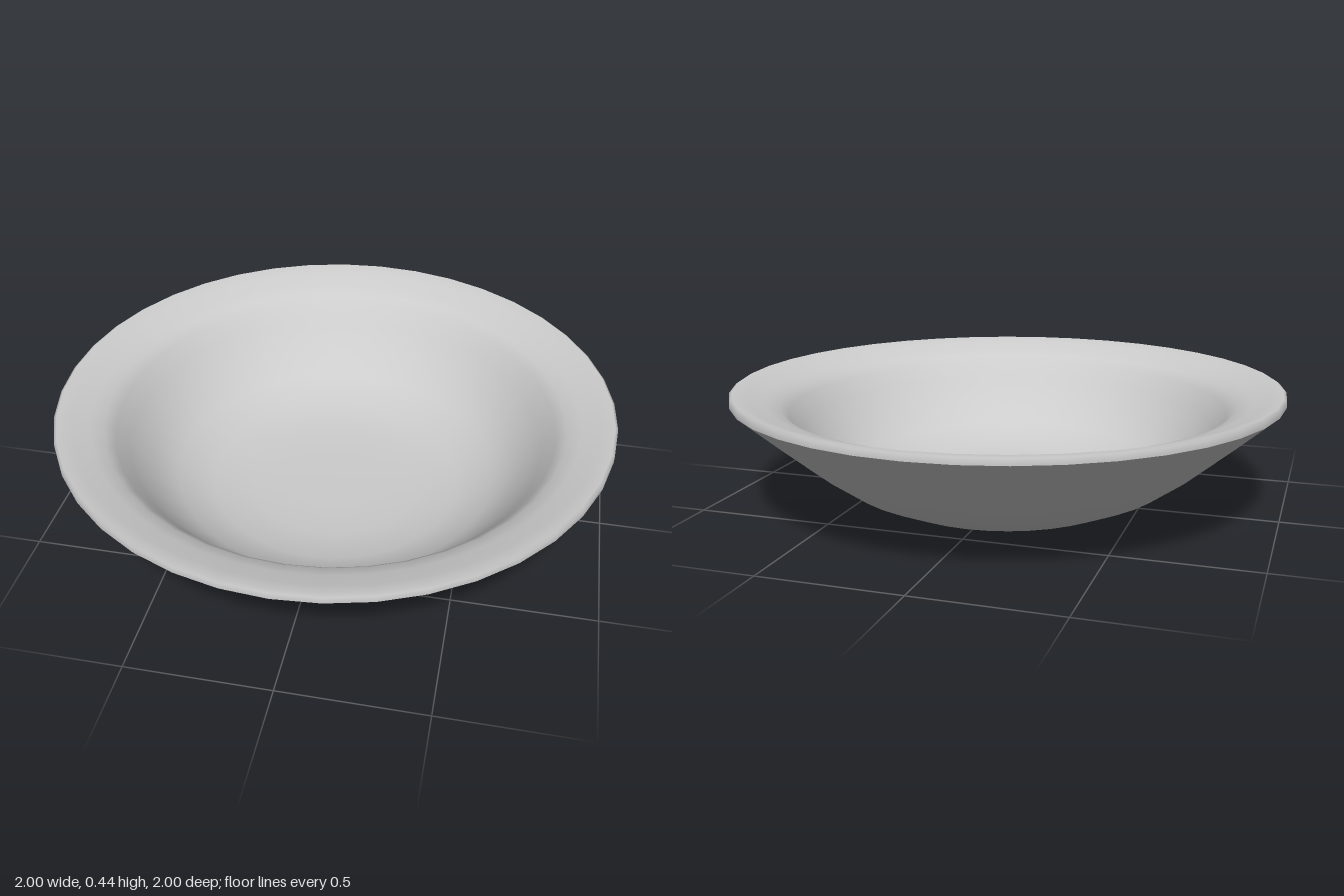
import * as THREE from 'three';

const SEGMENTS = 40;

// Revolve a [radius, height] profile around the y axis
function revolve(name, profile, material) {
  const points = profile.map(([r, y]) => new THREE.Vector2(r, y));
  const mesh = new THREE.Mesh(new THREE.LatheGeometry(points, SEGMENTS), material);
  mesh.name = name;
  return mesh;
}

export function createModel() {
  const group = new THREE.Group();
  group.name = 'bowl';
  const material = new THREE.MeshStandardMaterial({ color: 0xcccccc });

  // Outer shell, from the centre of the base up to the lip
  group.add(revolve('underside', [
    [0, 0], [0.16, 0.001], [0.31, 0.006], [0.46, 0.022], [0.6, 0.085],
    [0.73, 0.178], [0.86, 0.288], [1, 0.41],
  ], material));

  // Lip, sloping rim, steep inner wall and shallow floor
  group.add(revolve('rimAndInside', [
    [1, 0.41], [1, 0.433], [0.99, 0.44], [0.94, 0.424], [0.88, 0.405],
    [0.83, 0.386], [0.795, 0.355], [0.75, 0.295], [0.68, 0.21], [0.59, 0.13],
    [0.46, 0.075], [0.31, 0.055], [0.16, 0.05], [0, 0.05],
  ], material));

  return group;
}
